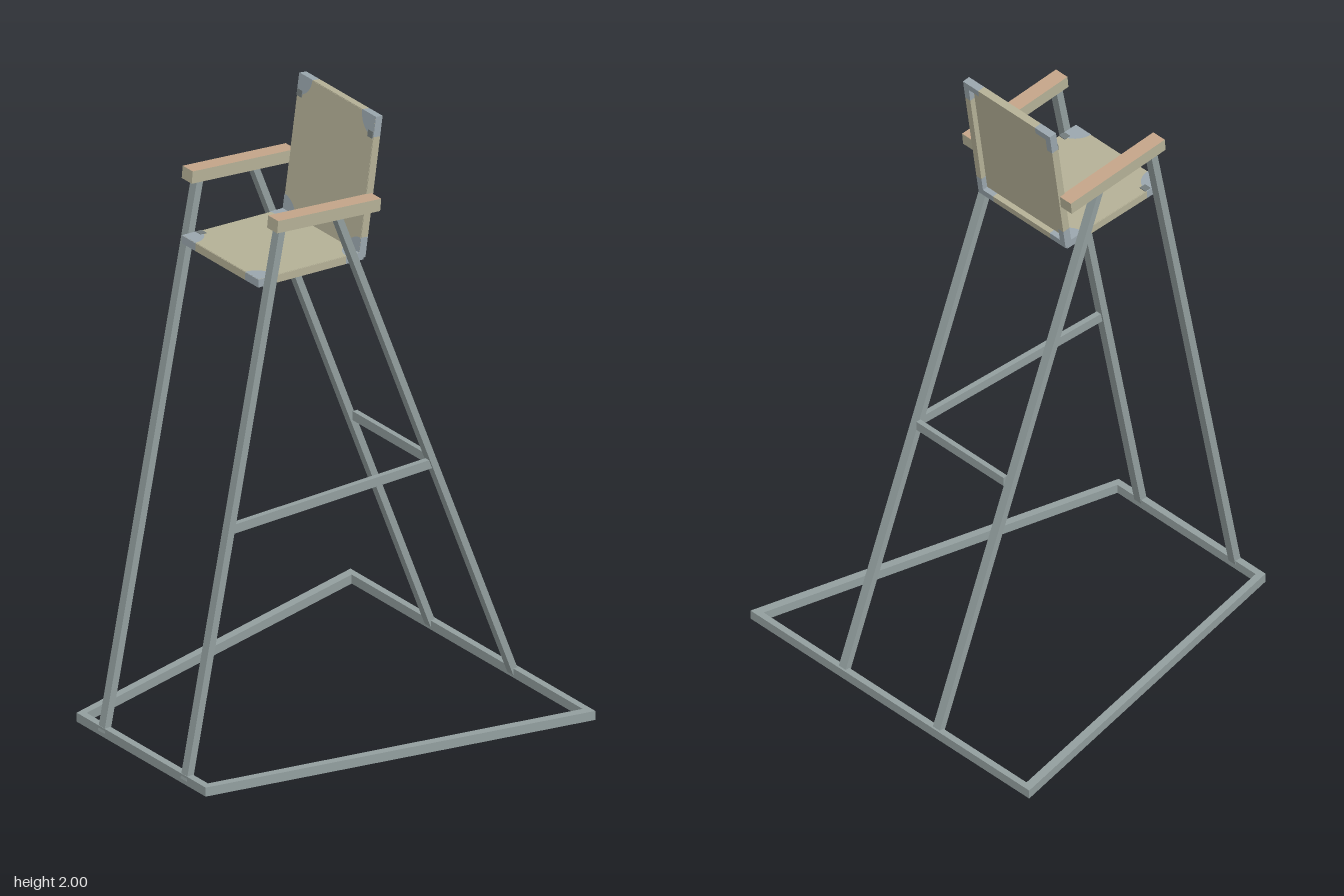
import * as THREE from 'three';

const mat = (name, color) => Object.assign(new THREE.MeshStandardMaterial({ color }), { name });

export function createModel() {
  const steel = mat('steel', 0x939f9f);
  const cream = mat('cream', 0xb5b197);
  const tan = mat('tan wood', 0xc4a589);
  const blue = mat('blue grey corner', 0x9ba7ae);
  const dark = mat('dark fitting', 0x737b7c);
  const model = new THREE.Group();
  model.name = 'lifeguardChair';
  const CX = 0.0075, LEG_X = 0.205;

  function box(parent, name, size, pos, material) {
    const m = new THREE.Mesh(new THREE.BoxGeometry(...size), material);
    m.name = name;
    m.position.set(...pos);
    parent.add(m);
    return m;
  }

  // Bar lying in a plane of constant x, between two [y, z] points
  function sloped(name, x, a, b, width, thick) {
    const dy = b[0] - a[0], dz = b[1] - a[1];
    const m = box(model, name, [width, Math.hypot(dy, dz), thick],
      [x, (a[0] + b[0]) / 2, (a[1] + b[1]) / 2], steel);
    m.rotation.x = Math.atan2(dz, dy);
  }

  // Trapezoid ground frame
  const loop = pts => pts.map(p => new THREE.Vector2(...p));
  const outline = new THREE.Shape(loop([[-0.61, -0.625], [0.605, -0.625], [0.32, 0.62], [-0.32, 0.62]]));
  outline.holes.push(new THREE.Path(loop([[-0.575, -0.603], [-0.301, 0.597], [0.301, 0.597], [0.571, -0.603]])));
  const baseGeo = new THREE.ExtrudeGeometry(outline, { depth: 0.03, bevelEnabled: false });
  baseGeo.rotateX(Math.PI / 2).translate(0, 0.03, 0);
  const base = new THREE.Mesh(baseGeo, steel);
  base.name = 'groundFrame';
  model.add(base);

  // Legs and armrests on both sides
  for (const s of [-1, 1]) {
    const x = CX + s * LEG_X, side = s > 0 ? 'left' : 'right';
    sloped(side + 'FrontLeg', x, [0.012, 0.61], [1.755, 0.26], 0.03, 0.024);
    sloped(side + 'RearLeg', x, [0.012, -0.613], [1.74, 0.055], 0.03, 0.022);
    const arm = box(model, side + 'Armrest', [0.05, 0.04, 0.388], [CX + s * 0.212, 1.75, 0.1],
      [cream, cream, tan, cream, cream, cream]);
    arm.rotation.x = -0.1;
  }

  // Braces: one across the rear legs, one along the left side
  box(model, 'rearBrace', [0.38, 0.03, 0.017], [CX, 0.798, -0.319], steel);
  box(model, 'sideBrace', [0.018, 0.03, 0.757], [CX + LEG_X, 0.798, 0.073], steel);

  // Rimmed panel facing local +z; farEnd is the sign of y where the small fittings sit
  function panel(name, w, h, farEnd) {
    const g = new THREE.Group();
    g.name = name;
    const T = 0.026, R = 0.066, rim = 0.022;
    box(g, 'sheet', [w - 0.004, h - 0.004, 0.008], [0, 0, T / 2 - 0.004], cream);
    for (const s of [-1, 1]) {
      box(g, 'sideRim', [rim, h - 2 * R, T - 0.001], [s * (w - rim) / 2, 0, -0.0005], cream);
      box(g, 'endRim', [w - 2 * R, rim, T - 0.001], [0, s * (h - rim) / 2, -0.0005], cream);
      for (const t of [-1, 1]) {
        // L-shaped corner bracket with a rounded face plate
        box(g, 'cornerUpright', [rim, R, T - 0.001], [s * (w - rim) / 2, t * (h - R) / 2, -0.0005], blue);
        box(g, 'cornerBar', [R - rim, rim, T - 0.001],
          [s * (w / 2 - rim - (R - rim) / 2), t * (h - rim) / 2, -0.0005], blue);
        const start = s > 0 ? (t > 0 ? Math.PI : Math.PI / 2) : (t > 0 ? Math.PI * 1.5 : 0);
        const plate = new THREE.Mesh(new THREE.CircleGeometry(R, 10, start, Math.PI / 2), blue);
        plate.name = 'cornerPlate';
        plate.position.set(s * w / 2, t * h / 2, T / 2 + 0.001);
        g.add(plate);
      }
      box(g, 'fitting', [0.024, 0.022, 0.003], [s * (w / 2 - 0.014), farEnd * (h / 2 - 0.06), T / 2 + 0.001], dark);
    }
    model.add(g);
    return g;
  }

  const seat = panel('seat', 0.379, 0.395, -1);
  seat.position.set(CX, 1.563, 0.132);
  seat.rotation.x = -Math.PI / 2 - 0.055;

  const back = panel('backrest', 0.379, 0.456, 1);
  back.position.set(CX, 1.772, -0.091);
  back.rotation.x = -0.142;

  return model;
}
